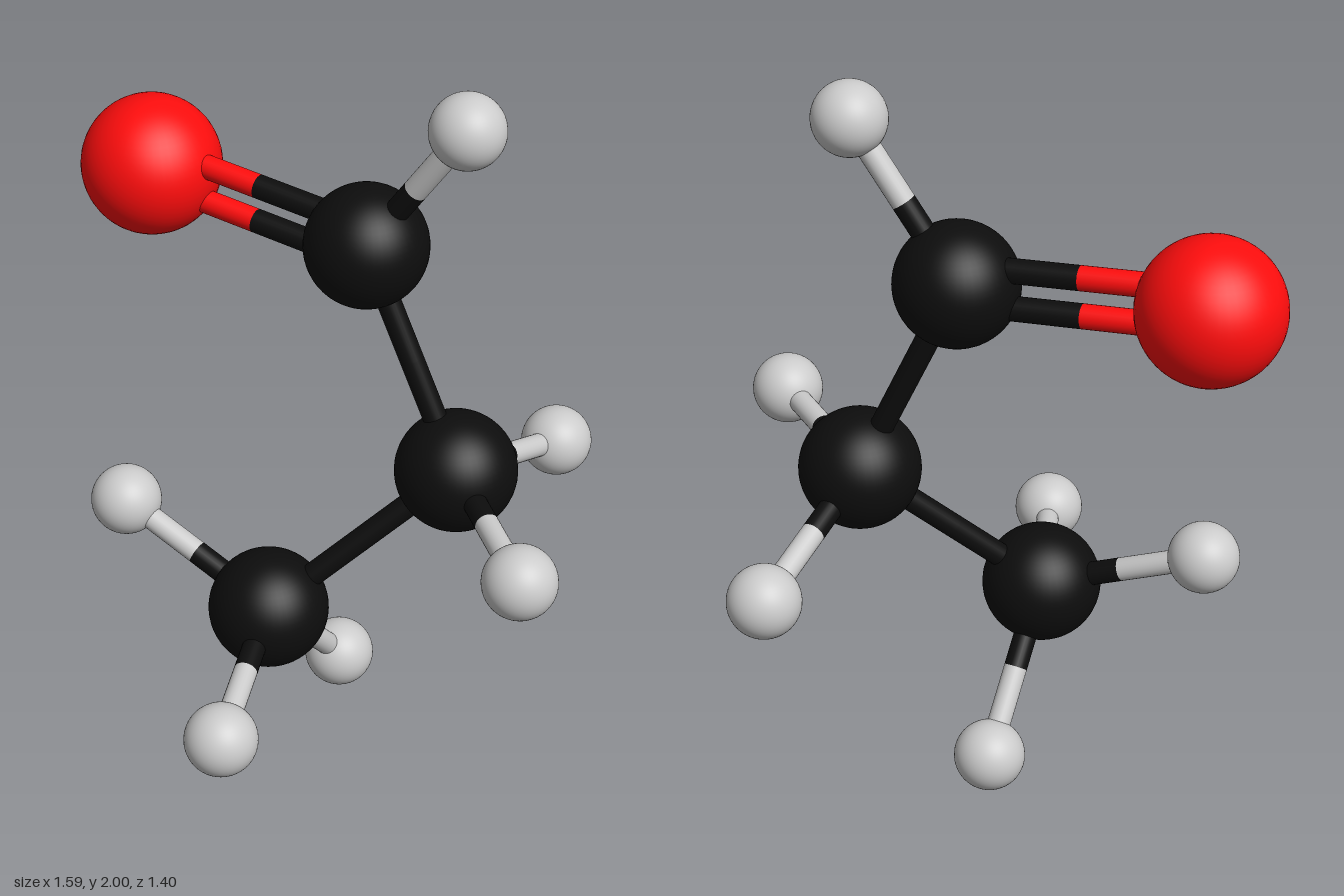
import * as THREE from 'three';

const paint = (color) => new THREE.MeshStandardMaterial({ color });

const ELEMENTS = {
  carbon: { radius: 0.163, material: paint(0x0d0d0d) },
  oxygen: { radius: 0.188, material: paint(0xff0d0d) },
  hydrogen: { radius: 0.097, material: paint(0xcccccc) },
};

const ATOMS = {
  aldehydeOxygen: ['oxygen', -0.61, 1.55, -0.14],
  aldehydeCarbon: ['carbon', 0.05, 1.5, -0.14],
  middleCarbon: ['carbon', 0.33, 0.905, -0.14],
  endCarbon: ['carbon', -0.08, 0.47, 0.14],
  aldehydeHydrogen: ['hydrogen', 0.33, 1.903, -0.14],
  middleHydrogenFront: ['hydrogen', 0.695, 0.897, 0.19],
  middleHydrogenBack: ['hydrogen', 0.395, 0.755, -0.603],
  endHydrogenSide: ['hydrogen', -0.54, 0.657, 0.14],
  endHydrogenFront: ['hydrogen', 0.07, 0.408, 0.605],
  endHydrogenBack: ['hydrogen', -0.055, 0.1, -0.19],
};

// from, to, bond order
const BONDS = [
  ['aldehydeCarbon', 'aldehydeOxygen', 2],
  ['aldehydeCarbon', 'middleCarbon', 1],
  ['middleCarbon', 'endCarbon', 1],
  ['aldehydeCarbon', 'aldehydeHydrogen', 1],
  ['middleCarbon', 'middleHydrogenFront', 1],
  ['middleCarbon', 'middleHydrogenBack', 1],
  ['endCarbon', 'endHydrogenSide', 1],
  ['endCarbon', 'endHydrogenFront', 1],
  ['endCarbon', 'endHydrogenBack', 1],
];

const BOND_RADIUS = 0.032;
const DOUBLE_OFFSET = 0.052;
const UP = new THREE.Vector3(0, 1, 0);

// Cylinder running from point a to point b
function rod(a, b, material, name) {
  const dir = b.clone().sub(a);
  const geometry = new THREE.CylinderGeometry(BOND_RADIUS, BOND_RADIUS, dir.length(), 24);
  const mesh = new THREE.Mesh(geometry, material);
  mesh.position.copy(a).lerp(b, 0.5);
  mesh.quaternion.setFromUnitVectors(UP, dir.normalize());
  mesh.name = name;
  return mesh;
}

export function createModel() {
  const model = new THREE.Group();
  model.name = 'ballAndStickMolecule';

  // Atoms
  const centre = {};
  for (const [name, [element, x, y, z]] of Object.entries(ATOMS)) {
    const { radius, material } = ELEMENTS[element];
    const ball = new THREE.Mesh(new THREE.SphereGeometry(radius, 48, 32), material);
    ball.position.set(x, y, z);
    ball.name = name;
    centre[name] = ball.position;
    model.add(ball);
  }

  // Bonds: each half takes the colour of its own atom
  for (const [from, to, order] of BONDS) {
    const bond = new THREE.Group();
    bond.name = order === 2 ? 'doubleBond' : 'singleBond';
    const dir = centre[to].clone().sub(centre[from]).normalize();
    const side = new THREE.Vector3(-dir.y, dir.x, 0).normalize();
    for (const s of order === 2 ? [-1, 1] : [0]) {
      const shift = side.clone().multiplyScalar(s * DOUBLE_OFFSET);
      const a = centre[from].clone().add(shift);
      const b = centre[to].clone().add(shift);
      const mid = a.clone().lerp(b, 0.5);
      bond.add(rod(a, mid, ELEMENTS[ATOMS[from][0]].material, 'bondHalfNear'));
      bond.add(rod(mid, b, ELEMENTS[ATOMS[to][0]].material, 'bondHalfFar'));
    }
    model.add(bond);
  }
  return model;
}
